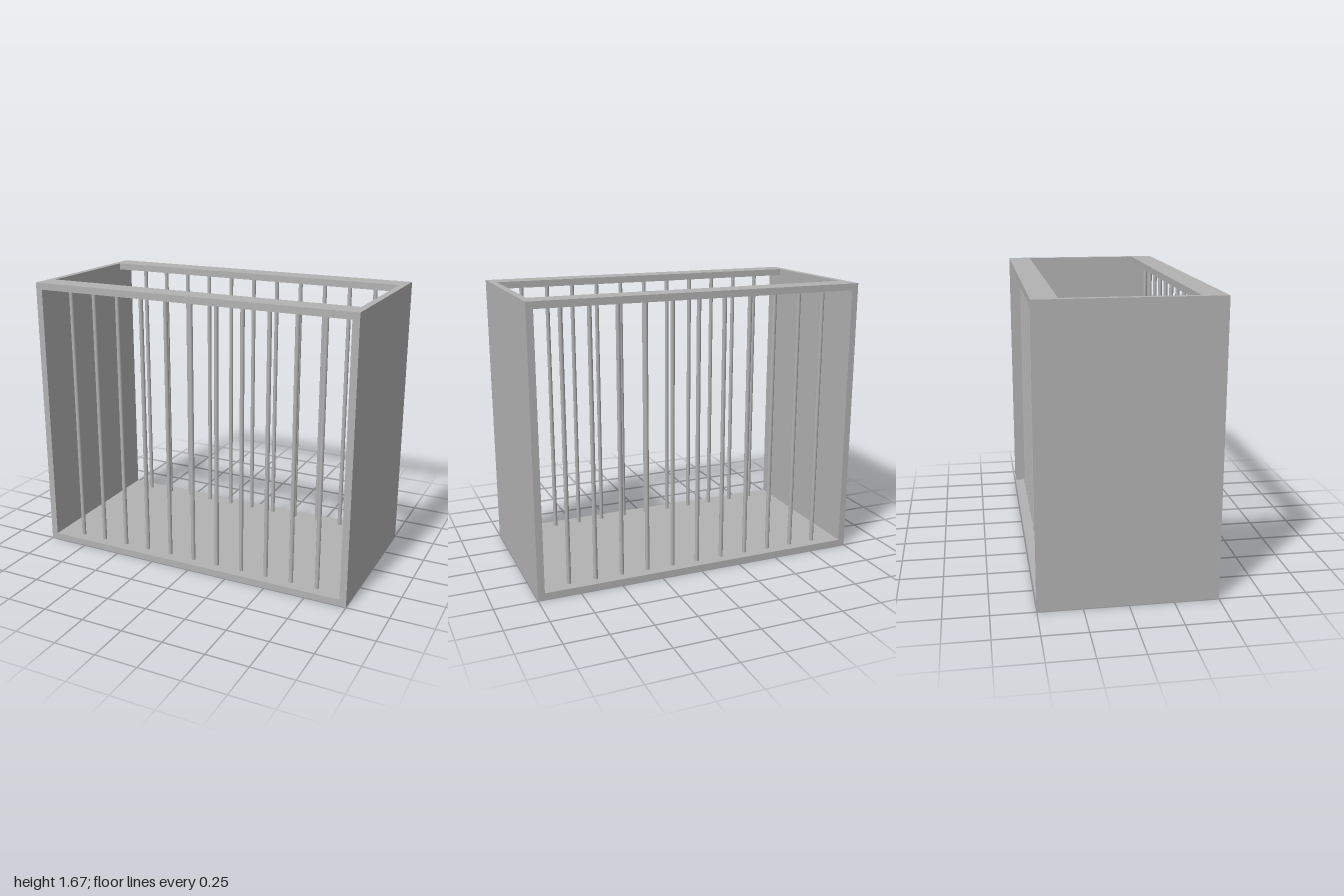
import * as THREE from 'three';

export function createModel() {
  const model = new THREE.Group();
  const grey = new THREE.MeshStandardMaterial({ color: 0xb2b2b2 });
  grey.name = 'grey';

  const W = 2, H = 1.67, D = 1, T = 0.04; // outer size and board thickness
  const RAIL = 0.14;                      // depth of the top rails
  const inner = W - 2 * T;

  function add(name, geometry, x, y, z) {
    const mesh = new THREE.Mesh(geometry, grey);
    mesh.name = name;
    mesh.position.set(x, y, z);
    model.add(mesh);
  }

  // Floor between the two solid side panels
  add('floor', new THREE.BoxGeometry(inner, T, D), 0, T / 2, 0);
  const panel = new THREE.BoxGeometry(T, H, D);
  add('leftPanel', panel, (W - T) / 2, H / 2, 0);
  add('rightPanel', panel, -(W - T) / 2, H / 2, 0);

  // Front and back: a top rail over a row of round bars
  const rail = new THREE.BoxGeometry(inner, T, RAIL);
  const bar = new THREE.CylinderGeometry(0.0125, 0.0125, H - 2 * T, 24, 1, true);
  for (const [side, s] of [['front', 1], ['back', -1]]) {
    const z = s * (D - RAIL) / 2;
    add(side + 'Rail', rail, 0, H - T / 2, z);
    for (let i = -5; i <= 5; i++) add(side + 'Bar', bar, i * 0.16, H / 2, z);
  }
  return model;
}
